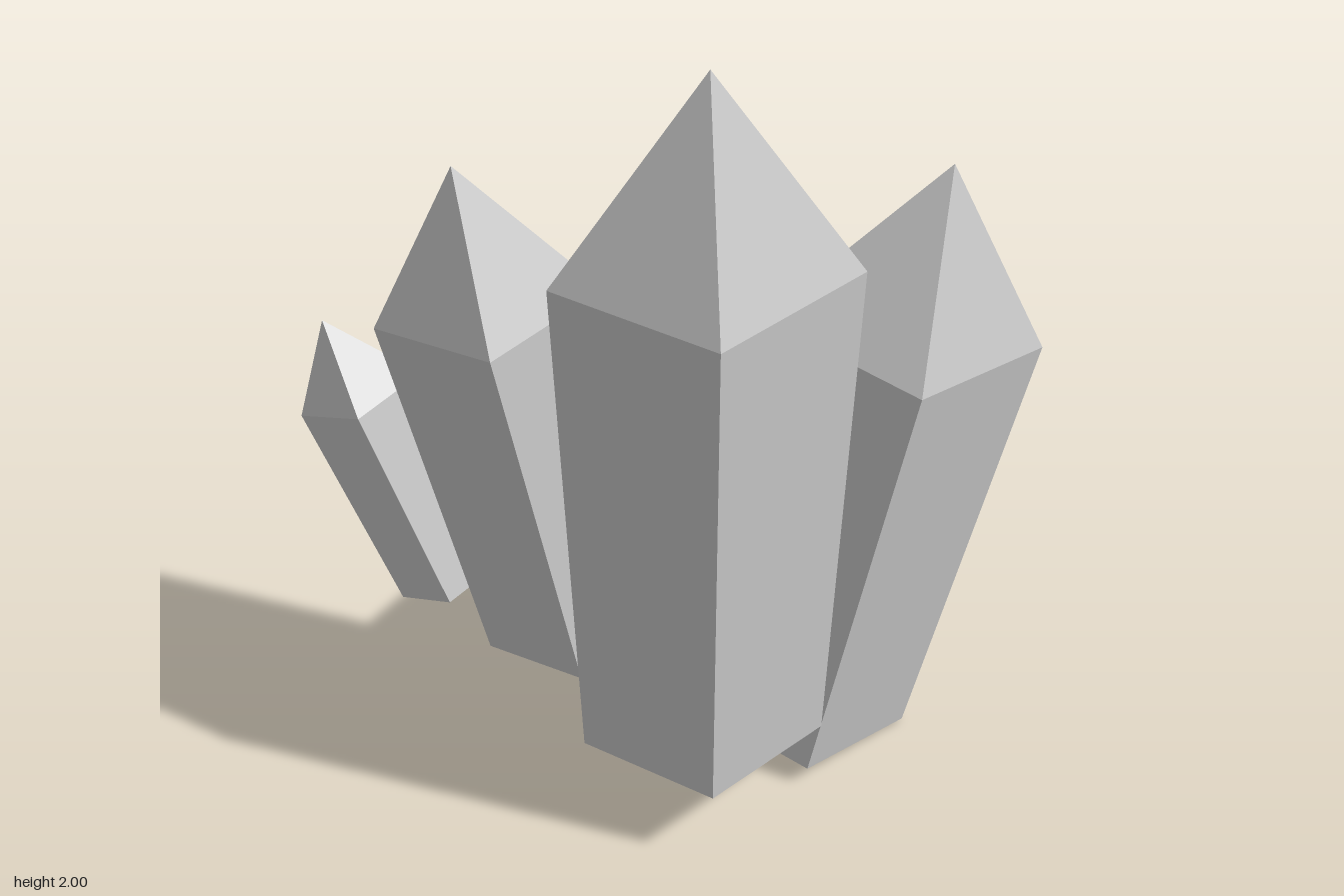
import * as THREE from 'three';

const BASE_SCALE = 0.83; // the shaft narrows towards its foot

// Each shaft is a leaning four-sided prism: u and v are the shoulder's two edges,
// shoulder and foot are its back-left corners, tip is the point of the crystal.
const CRYSTALS = [
  { name: 'mainCrystal', tip: [-0.07, 2, 0.28], shoulder: [-0.38, 1.49, 0.157], foot: [-0.33, 0.2, 0.178],
    u: [0.4, 0, -0.112], v: [0.218, 0, 0.352] },
  { name: 'leftCrystal', tip: [0.515, 1.6, 0.275], shoulder: [0.14, 1.225, 0.125], foot: [-0.01, 0.105, 0.075],
    u: [0.375, -0.06, -0.107], v: [0.207, -0.063, 0.34] },
  { name: 'rightCrystal', tip: [-0.437, 1.61, -0.185], shoulder: [-0.605, 1.19, -0.265], foot: [-0.41, 0.255, -0.165],
    u: [0.305, 0.045, -0.073], v: [0.152, 0.045, 0.282] },
  { name: 'smallCrystal', tip: [-0.65, 1.09, -0.473], shoulder: [-0.72, 0.845, -0.47], foot: [-0.565, 0.355, -0.313],
    u: [0.175, 0.04, -0.045], v: [0.08, 0.07, 0.155] },
];

// Four corners, counterclockwise seen from above
function ring(corner, u, v, scale) {
  return [[0, 0], [0, 1], [1, 1], [1, 0]].map(([a, b]) =>
    corner.map((c, k) => c + (a * u[k] + b * v[k]) * scale));
}

function crystalGeometry({ tip, shoulder, foot, u, v }) {
  const top = ring(shoulder, u, v, 1);
  const low = ring(foot, u, v, BASE_SCALE);
  const triangles = [];
  for (let i = 0; i < 4; i++) {
    const j = (i + 1) % 4;
    triangles.push(low[i], low[j], top[j], low[i], top[j], top[i]); // shaft side
    triangles.push(top[i], top[j], tip); // pointed end
  }
  triangles.push(low[0], low[2], low[1], low[0], low[3], low[2]); // flat foot
  const geometry = new THREE.BufferGeometry();
  geometry.setAttribute('position', new THREE.Float32BufferAttribute(triangles.flat(), 3));
  geometry.computeVertexNormals();
  return geometry;
}

export function createModel() {
  const group = new THREE.Group();
  group.name = 'crystalCluster';
  const material = new THREE.MeshStandardMaterial({ color: 0xcccccc, flatShading: true });
  for (const crystal of CRYSTALS) {
    const mesh = new THREE.Mesh(crystalGeometry(crystal), material);
    mesh.name = crystal.name;
    group.add(mesh);
  }
  return group;
}
